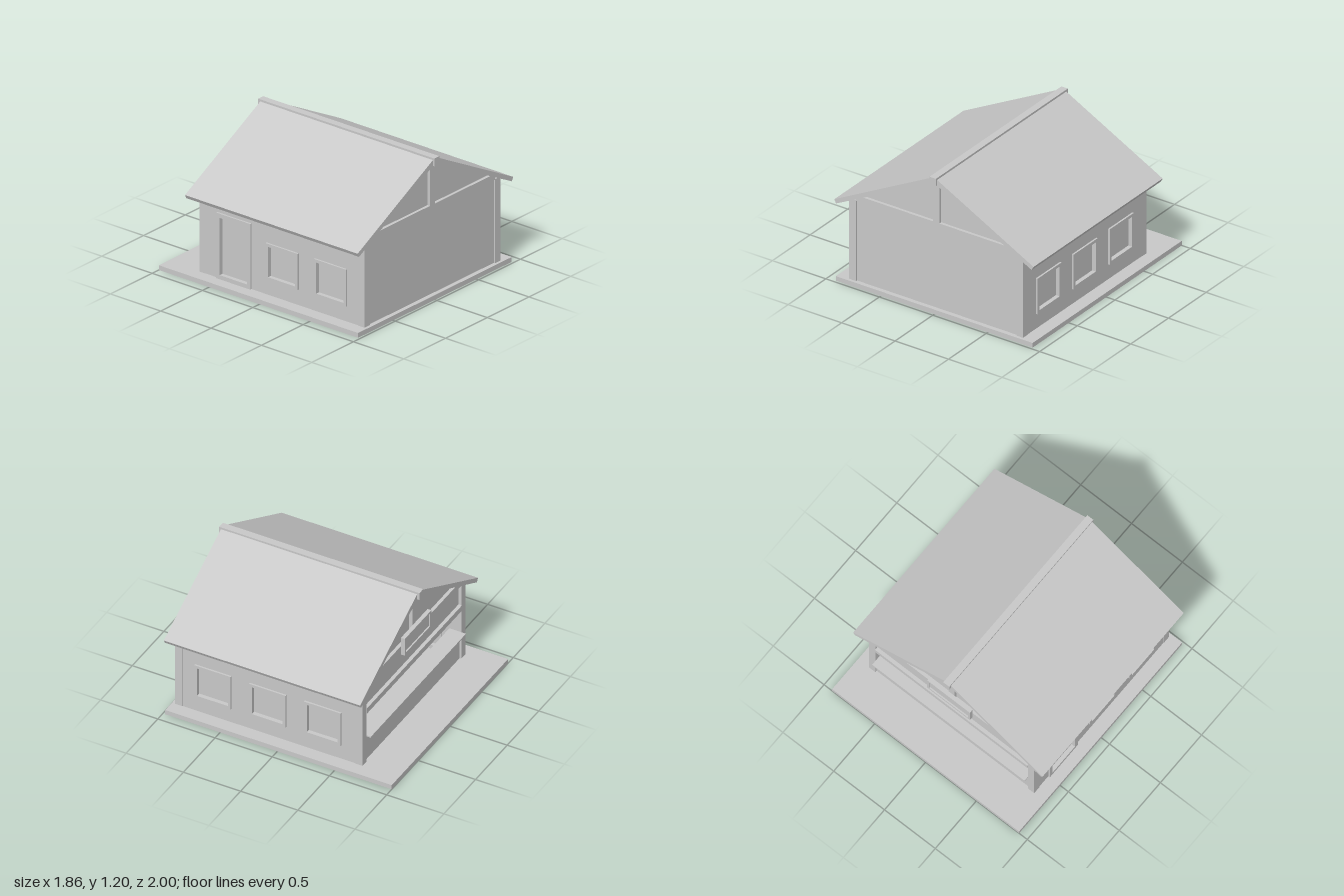
import * as THREE from 'three';

export function createModel() {
  const model = new THREE.Group();
  model.name = 'kioskHouse';
  const grey = new THREE.MeshStandardMaterial({ color: 0xc8c8c8 });
  grey.name = 'plain grey';

  const add = (name, geometry, parent = model) => {
    const mesh = new THREE.Mesh(geometry, grey);
    mesh.name = name;
    parent.add(mesh);
    return mesh;
  };
  // Box given by its limits on each axis
  const box = (name, x0, x1, y0, y1, z0, z1, parent) =>
    add(name, new THREE.BoxGeometry(x1 - x0, y1 - y0, z1 - z0)
      .translate((x0 + x1) / 2, (y0 + y1) / 2, (z0 + z1) / 2), parent);
  const polygon = (pts) => new THREE.Shape(pts.map(([x, y]) => new THREE.Vector2(x, y)));
  const rect = (a0, a1, y0, y1) => polygon([[a0, y0], [a1, y0], [a1, y1], [a0, y1]]);
  const extrude = (shape, depth) => new THREE.ExtrudeGeometry(shape, { depth, bevelEnabled: false });
  // Extrudes a z-y outline sideways, between x0 and x1
  const sideways = (shape, x0, x1) =>
    extrude(shape, x1 - x0).rotateY(-Math.PI / 2).translate(x1, 0, 0);

  // Base and ridge
  box('base', -0.92, 0.92, 0, 0.04, -1, 0.98);
  box('ridgeBeam', -0.03, 0.03, 1.135, 1.2, -0.75, 1);

  // Roof slopes
  for (const s of [1, -1]) {
    const pts = [[0, 1.15], [0.915 * s, 0.678], [0.932 * s, 0.71], [0.03 * s, 1.183], [0, 1.183]];
    add(s > 0 ? 'leftRoof' : 'rightRoof', extrude(polygon(pts), 1.715).translate(0, 0, -0.73));
  }

  // Side walls with framed openings: [z0, z1, y0, y1, border]
  const windows = [[0.46, 0.78, 0.17, 0.48], [-0.02, 0.3, 0.17, 0.475], [-0.5, -0.18, 0.17, 0.48]];
  const door = [-0.51, -0.17, 0.04, 0.59];
  for (const s of [1, -1]) {
    const side = s > 0 ? 'left' : 'right';
    const openings = s > 0 ? windows : [windows[0], windows[1], door];
    const span = (a, b) => (s > 0 ? [a, b] : [-b, -a]);
    const wall = rect(-0.67, 0.945, 0.04, 0.74);
    for (const o of openings) {
      const [z0, z1, y0, y1] = o;
      const kind = o === door ? 'Door' : 'Window';
      const b = o === door ? 0.035 : 0.025;
      const inner = [z0 + b, z1 - b, y0 + b, y1 - b];
      wall.holes.push(rect(z0 + 0.01, z1 - 0.01, y0 + 0.01, y1 - 0.01));
      const frame = rect(z0, z1, y0, y1);
      frame.holes.push(rect(...inner));
      add(side + kind + 'Frame', sideways(frame, ...span(0.75, 0.825)));
      add(side + kind + 'Panel', sideways(rect(...inner), ...span(0.782, 0.79)));
    }
    add(side + 'Wall', sideways(wall, ...span(0.76, 0.81)));
    // Corner posts
    box(side + 'FrontPost', ...span(0.75, 0.813), 0.04, 0.745, 0.89, 0.955);
    box(side + 'BackPost', ...span(0.75, 0.813), 0.04, 0.745, -0.685, -0.62);
  }

  // Solid front wall
  box('frontWall', -0.76, 0.76, 0.04, 0.745, 0.9, 0.943);

  // Both gables: recessed infill, tie beam and king post
  const gable = polygon([[-0.8, 0.74], [0.8, 0.74], [0, 1.155]]);
  for (const [name, zIn, z0, z1] of [['front', 0.9, 0.89, 0.955], ['back', -0.66, -0.688, -0.62]]) {
    add(name + 'Gable', extrude(gable, 0.03).translate(0, 0, zIn));
    box(name + 'TieBeam', -0.75, 0.75, 0.74, 0.79, z0, z1);
    box(name + 'KingPost', -0.03, 0.03, 0.79, 1.14, z0, z1);
  }

  // Serving opening at the back
  box('counterWall', -0.75, 0.75, 0.04, 0.28, -0.67, -0.63);
  box('counterTop', -0.75, 0.75, 0.28, 0.292, -0.725, -0.58);
  box('openingBeam', -0.75, 0.75, 0.5, 0.55, -0.69, -0.63);
  box('headerPanel', -0.75, 0.75, 0.55, 0.74, -0.66, -0.63);

  // Blank hanging board with a raised frame
  const board = new THREE.Group();
  board.name = 'signBoard';
  model.add(board);
  const rim = rect(-0.21, 0.21, 0.71, 0.87);
  rim.holes.push(rect(-0.19, 0.19, 0.73, 0.85));
  add('signFrame', extrude(rim, 0.034).translate(0, 0, -0.722), board);
  box('signPanel', -0.19, 0.19, 0.73, 0.85, -0.71, -0.688, board);

  return model;
}
